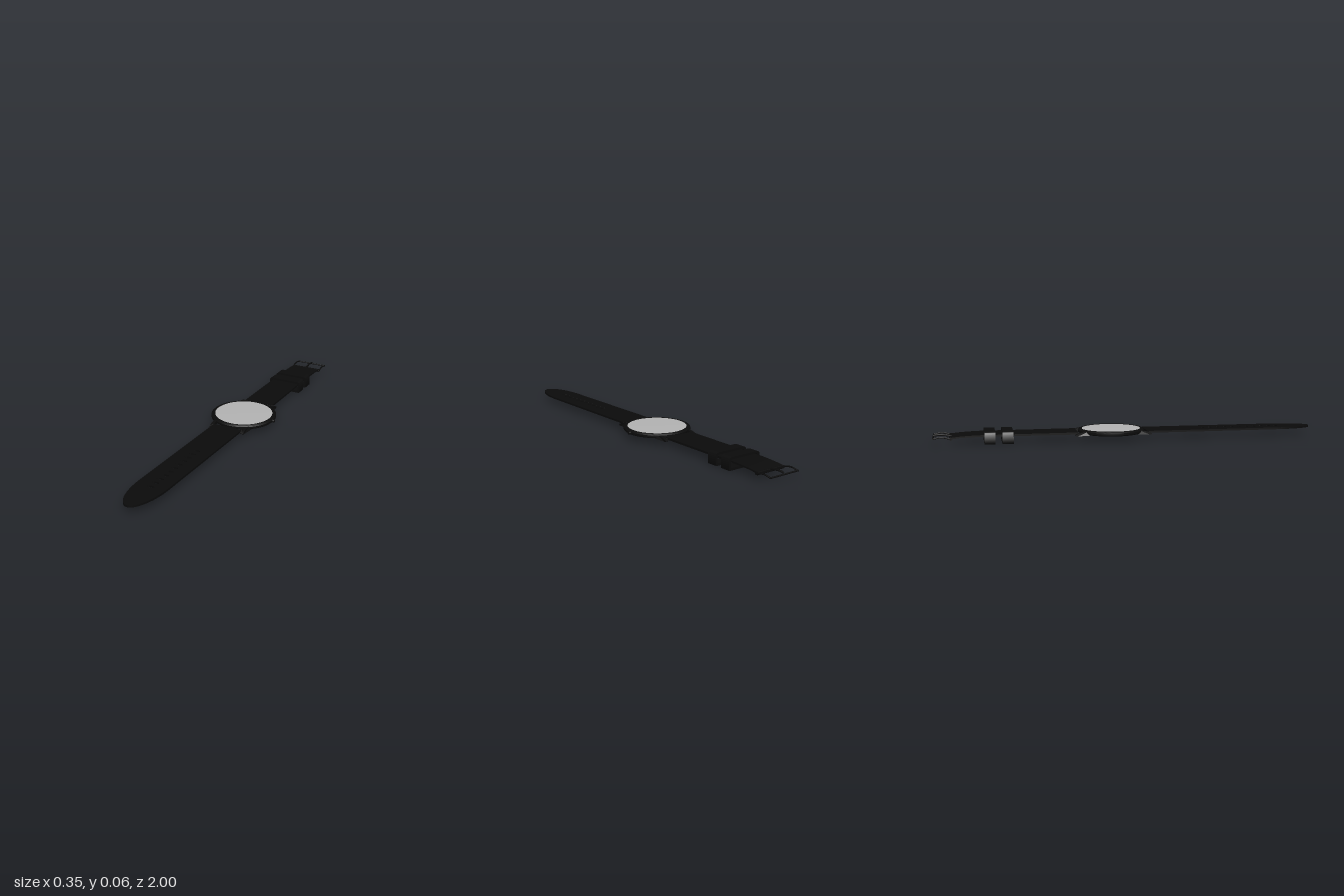
import * as THREE from 'three';
import { toCreasedNormals } from 'three/addons/utils/BufferGeometryUtils.js';

const V3 = (x, y, z) => new THREE.Vector3(x, y, z);
const black = new THREE.MeshStandardMaterial({ color: 0x0b0b0b });
const grey = new THREE.MeshStandardMaterial({ color: 0xb4b4b4 });
const CASE_Z = -0.09;

export function createModel() {
  const watch = new THREE.Group();
  watch.name = 'wristwatch';
  watch.position.x = -0.005;

  const add = (name, geometry, x = 0, y = 0, z = 0, material = black) => {
    const mesh = new THREE.Mesh(geometry, material);
    mesh.name = name;
    mesh.position.set(x, y, z);
    watch.add(mesh);
    return mesh;
  };
  const lathe = (pts) => toCreasedNormals(
    new THREE.LatheGeometry(pts.map((p) => new THREE.Vector2(...p)), 96), 0.5);
  const extrude = (shape, depth, options = {}) => toCreasedNormals(
    new THREE.ExtrudeGeometry(shape, { depth, bevelEnabled: false, curveSegments: 12, ...options }), 0.6);
  // Side profile given as [z, y], extruded over a width centred on x = 0
  const sideProfile = (pts, width) => extrude(
    new THREE.Shape(pts.map((p) => new THREE.Vector2(...p))), width)
    .rotateY(-Math.PI / 2).translate(width / 2, 0, 0);
  const tube = (pts, radius) => new THREE.TubeGeometry(
    new THREE.CatmullRomCurve3(pts), 20, radius, 8);
  const barX = (radius, length) => new THREE.CylinderGeometry(radius, radius, length, 16)
    .rotateZ(Math.PI / 2);

  // Case ring with bevelled rims, glass and back plate
  add('caseRing', lathe([[0.152, 0.034], [0.158, 0.033], [0.166, 0.035], [0.172, 0.04], [0.172, 0.05],
    [0.168, 0.054], [0.158, 0.058], [0.152, 0.056], [0.152, 0.034]]), 0, 0, CASE_Z);
  add('glass', lathe([[0.153, 0.05], [0.153, 0.056], [0, 0.0565]]), 0, 0, CASE_Z, grey);
  add('backPlate', lathe([[0, 0.035], [0.153, 0.035], [0.153, 0.04]]), 0, 0, CASE_Z, grey);

  // Crown on the side of the case
  add('crown', new THREE.CylinderGeometry(0.007, 0.008, 0.012, 20).rotateZ(-Math.PI / 2),
    0.176, 0.045, CASE_Z);

  // Four lugs and the two spring bars
  for (const end of [-1, 1]) {
    for (const side of [-1, 1]) {
      const lug = new THREE.Shape();
      lug.moveTo(0.125, 0.034);
      lug.lineTo(0.185, 0.029);
      lug.quadraticCurveTo(0.2, 0.029, 0.197, 0.036);
      lug.quadraticCurveTo(0.18, 0.048, 0.125, 0.053);
      const geometry = extrude(lug, 0.018).rotateY(-Math.PI / 2).translate(0.009, 0, 0);
      // Flare towards the case
      const pos = geometry.attributes.position;
      for (let i = 0; i < pos.count; i++) {
        const z = pos.getZ(i);
        if (z < 0.13 && pos.getX(i) * side > 0) pos.setX(i, pos.getX(i) + side * 0.012);
      }
      geometry.computeVertexNormals();
      if (end < 0) geometry.rotateY(Math.PI);
      // A half turn swaps the sides, so the flare is placed on the matching one
      add('lug', geometry, side * end * 0.09, 0, CASE_Z);
    }
    add('springBar', barX(0.005, 0.175), 0, 0.041, CASE_Z + end * 0.184);
  }

  // Long strap with a pointed tip and adjustment holes
  const strap = new THREE.Shape();
  strap.moveTo(-0.081, 0.09);
  strap.lineTo(0.081, 0.09);
  strap.lineTo(0.08, 0.8);
  strap.bezierCurveTo(0.078, 0.9, 0.045, 1.0, 0, 1.0);
  strap.bezierCurveTo(-0.045, 1.0, -0.078, 0.9, -0.08, 0.8);
  for (let i = 0; i < 11; i++) {
    const hole = new THREE.Path();
    hole.absellipse(0, 0.404 + i * 0.0408, 0.019, 0.009, 0, Math.PI * 2, true);
    strap.holes.push(hole);
  }
  add('longStrap', extrude(strap, 0.01).rotateX(Math.PI / 2), 0, 0.046, 0);

  // Short strap, thinning and dipping to the buckle
  add('shortStrap', sideProfile([[-0.27, 0.037], [-0.27, 0.048], [-0.78, 0.047], [-0.86, 0.043],
    [-0.918, 0.037], [-0.918, 0.028], [-0.86, 0.036], [-0.78, 0.038]].reverse(), 0.162));
  add('strapFold', barX(0.008, 0.162), 0, 0.031, -0.91);

  // Two strap keepers
  const outline = (target, w, bottom, top, r, chamfer) => {
    target.moveTo(-w + r, bottom);
    target.lineTo(w - r, bottom);
    target.quadraticCurveTo(w, bottom, w, bottom + r);
    target.lineTo(w, top - chamfer);
    target.quadraticCurveTo(w - 0.004, top, w - chamfer * 1.6, top);
    target.lineTo(-w + chamfer * 1.6, top);
    target.quadraticCurveTo(-w + 0.004, top, -w, top - chamfer);
    target.lineTo(-w, bottom + r);
    target.quadraticCurveTo(-w, bottom, -w + r, bottom);
    return target;
  };
  for (const z of [-0.717, -0.627]) {
    const keeper = outline(new THREE.Shape(), 0.095, 0, 0.064, 0.006, 0.014);
    keeper.holes.push(outline(new THREE.Path(), 0.084, 0.012, 0.053, 0.004, 0.008));
    add('strapKeeper', extrude(keeper, 0.055).translate(0, 0, -0.0275), 0, 0, z);
  }

  // Buckle: pivot bar, arched arms, end bar and tongue
  add('bucklePivot', barX(0.006, 0.176), 0, 0.031, -0.91);
  for (const side of [-1, 1]) {
    const x = side * 0.085;
    add('buckleArm', tube([V3(x, 0.031, -0.905), V3(x, 0.039, -0.94), V3(x, 0.04, -0.965),
      V3(x, 0.034, -0.996)], 0.004));
  }
  add('buckleEndBar', barX(0.004, 0.176), 0, 0.034, -0.996);
  add('buckleTongue', tube([V3(0, 0.035, -0.905), V3(0, 0.041, -0.94), V3(0, 0.043, -0.965),
    V3(0, 0.039, -0.996)], 0.005));

  return watch;
}
